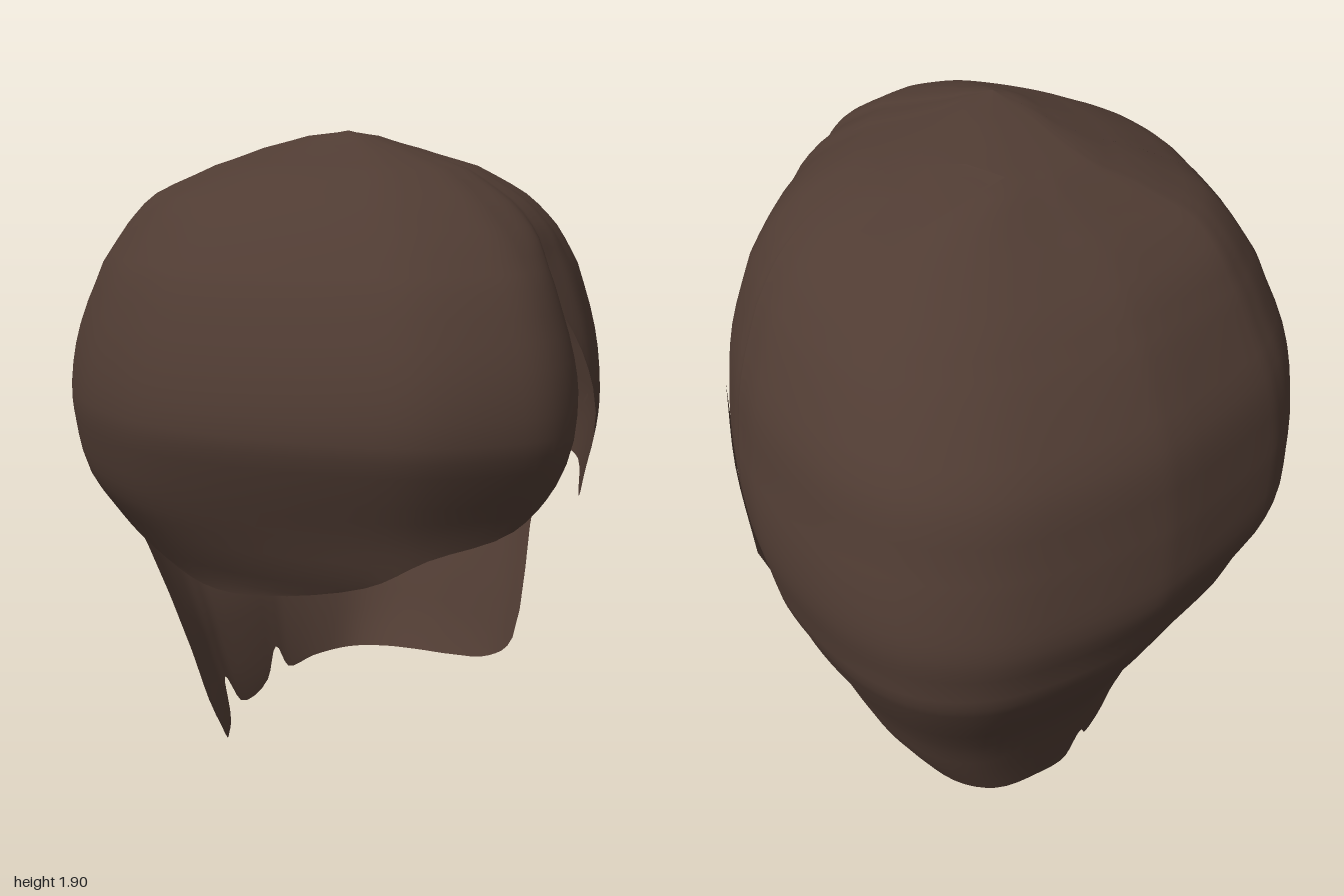
import * as THREE from 'three';

// Horizontal extents of the shell by height: [y, xMin, xMax, zMin, zMax]
const ROWS = [
  [1.9, -0.04, -0.04, 0.19, 0.19], [1.885, -0.12, 0.07, -0.04, 0.26],
  [1.85, -0.22, 0.21, -0.29, 0.38], [1.8, -0.36, 0.38, -0.39, 0.53],
  [1.72, -0.53, 0.53, -0.51, 0.67], [1.63, -0.62, 0.63, -0.64, 0.78],
  [1.52, -0.7, 0.7, -0.76, 0.88], [1.34, -0.77, 0.765, -0.9, 0.97],
  [1.17, -0.8, 0.79, -0.95, 1], [1.05, -0.79, 0.8, -0.98, 0.96],
  [0.92, -0.76, 0.79, -1, 0.9], [0.8, -0.68, 0.765, -0.98, 0.87],
  [0.68, -0.6, 0.73, -0.95, 0.84], [0.4, -0.5, 0.64, -0.8, 1],
  [0.2, -0.44, 0.57, -0.72, 1.1], [0, -0.37, 0.45, -0.66, 1.1],
];

// Outline seen from above with the height of the cut edge: [x, rimY, z]
const OUTLINE = [
  // right side and nape, with two small notches
  [-0.8, 0.84, -0.13], [-0.797, 0.7, -0.2], [-0.795, 0.42, -0.23], [-0.793, 0.2, -0.19],
  [-0.775, 0.01, -0.38], [-0.71, 0.01, -0.53], [-0.655, 0.13, -0.605], [-0.6, 0.03, -0.66],
  [-0.37, 0.04, -0.815], [-0.28, 0.13, -0.87], [-0.2, 0.05, -0.91], [0, 0.06, -0.97],
  [0.25, 0.07, -1], [0.45, 0.08, -0.94], [0.6, 0.1, -0.8], [0.7, 0.13, -0.62],
  [0.77, 0.18, -0.42],
  // left side: neck edge, ear opening, side flap up to the parting
  [0.79, 0.27, -0.29], [0.793, 0.7, -0.25], [0.797, 0.87, -0.16], [0.785, 0.88, 0.03],
  [0.715, 0.81, 0.24], [0.66, 0.9, 0.36], [0.58, 1.21, 0.51], [0.5, 1.41, 0.58],
  [0.44, 1.49, 0.63],
  // sweeping fringe
  [0.435, 1.39, 0.73], [0.41, 1.26, 0.82], [0.31, 1.04, 0.94], [0.2, 0.925, 0.985],
  [-0.04, 0.86, 0.99], [-0.22, 0.77, 0.91], [-0.5, 0.7, 0.7], [-0.67, 0.69, 0.5],
  [-0.755, 0.74, 0.28], [-0.793, 0.8, 0.1],
];

const COLUMNS = OUTLINE.length * 4;
const STEPS = 45;

// Row position (fractional) at which the shell reaches height y
function rowAt(y) {
  for (let i = 1; i < ROWS.length; i++) {
    if (y >= ROWS[i][0]) return i - (y - ROWS[i][0]) / (ROWS[i - 1][0] - ROWS[i][0]);
  }
  return ROWS.length - 1;
}

// Smoothly interpolated extents at a fractional row
function extents(s) {
  const i = Math.min(Math.floor(s), ROWS.length - 2), t = s - i;
  const p = ROWS[Math.max(i - 1, 0)], a = ROWS[i], b = ROWS[i + 1];
  const n = ROWS[Math.min(i + 2, ROWS.length - 1)];
  return a.map((v, k) => {
    if (k === 0) return THREE.MathUtils.lerp(v, b[0], t);
    const m0 = (b[k] - p[k]) / 2, m1 = (n[k] - v) / 2;
    return v + m0 * t + (3 * (b[k] - v) - 2 * m0 - m1) * t * t + (2 * (v - b[k]) + m0 + m1) * t ** 3;
  });
}

// Point of the shell on one outline column at a row position
function shellPoint(o, s) {
  const [y, x0, x1, z0, z1] = extents(s);
  const near = (x, z, r) => Math.max(0, 1 - Math.hypot(o.x - x, o.z - z) / r);
  // the parting groove fades towards the crown, and the back corner fills out
  const shift = near(0.44, 0.63, 0.3) * 0.06 * THREE.MathUtils.smoothstep(y, 1.5, 1.72)
    - near(-0.6, -0.65, 0.6) * 0.07 * THREE.MathUtils.smoothstep(y, 1.45, 1.8);
  return [
    THREE.MathUtils.lerp(x0, x1, (o.x + shift + 0.8) / 1.6), y,
    THREE.MathUtils.lerp(z0, z1, (o.z + shift + 1) / 2),
  ];
}

function makeGeometry(positions, index) {
  const geometry = new THREE.BufferGeometry();
  geometry.setAttribute('position', new THREE.Float32BufferAttribute(positions, 3));
  geometry.setIndex(index);
  geometry.computeVertexNormals();
  return geometry;
}

// Open hair shell: level rings from the crown, each column stopping at its cut edge
function shellGeometry() {
  const curve = new THREE.CatmullRomCurve3(OUTLINE.map((p) => new THREE.Vector3(...p)), true);
  const columns = Array.from({ length: COLUMNS }, (_, j) => curve.getPoint(j / COLUMNS));
  const ends = columns.map((o) => rowAt(Math.max(0, o.y)));
  const level = (i) => i / STEPS * (ROWS.length - 1);
  const positions = [], index = [];
  for (let i = 0; i <= STEPS; i++) {
    columns.forEach((o, j) => positions.push(...shellPoint(o, Math.min(level(i), ends[j]))));
  }
  for (let i = 0; i < STEPS; i++) {
    for (let j = 0; j < COLUMNS; j++) {
      const k = (j + 1) % COLUMNS;
      const a = i * COLUMNS + j, b = i * COLUMNS + k;
      const c = b + COLUMNS, d = a + COLUMNS;
      if (i > 0 && level(i) < ends[k]) index.push(a, b, c);
      if (level(i) < ends[j]) index.push(a, c, d);
    }
  }
  return makeGeometry(positions, index);
}

// Thin lock of hair between two edge paths
function lockGeometry(edgeA, edgeB, n = 8) {
  const [a, b] = [edgeA, edgeB].map(
    (e) => new THREE.CatmullRomCurve3(e.map((p) => new THREE.Vector3(...p))));
  const positions = [], index = [];
  for (let i = 0; i <= n; i++) {
    positions.push(...a.getPoint(i / n).toArray(), ...b.getPoint(i / n).toArray());
    if (i < n) index.push(2 * i, 2 * i + 1, 2 * i + 3, 2 * i, 2 * i + 3, 2 * i + 2);
  }
  return makeGeometry(positions, index);
}

export function createModel() {
  const group = new THREE.Group();
  group.name = 'hair';
  const brown = new THREE.MeshStandardMaterial({ color: 0x503c33, side: THREE.DoubleSide });
  brown.name = 'dark brown';

  const add = (name, geometry) => {
    const mesh = new THREE.Mesh(geometry, brown);
    mesh.name = name;
    group.add(mesh);
  };

  add('hairShell', shellGeometry());
  add('crownLock', lockGeometry(
    [[0.05, 1.86, -0.27], [0.22, 1.815, -0.34], [0.37, 1.755, -0.37]],
    [[0.13, 1.865, -0.18], [0.22, 1.85, -0.14], [0.43, 1.77, -0.29]]));
  add('earLock', lockGeometry(
    [[0.79, 1.18, 0.02], [0.8, 1.0, -0.14], [0.775, 0.8, -0.29]],
    [[0.79, 1.1, 0.0], [0.79, 0.92, -0.16], [0.73, 0.7, -0.3]]));
  return group;
}
